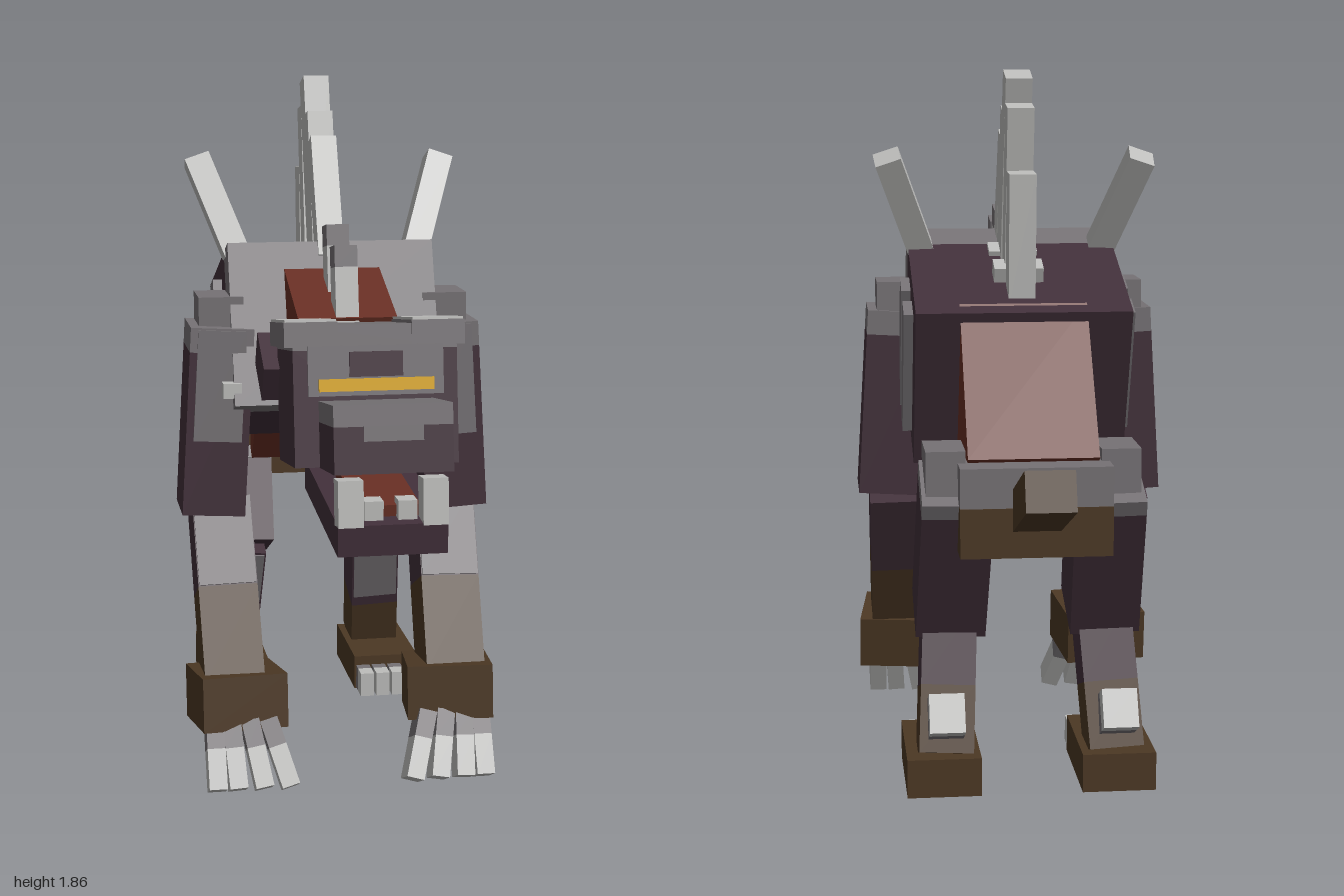
import * as THREE from 'three';

const M = {};
const colours = { grey: 0x767275, plum: 0x42303a, bone: 0xbdbdbb, brown: 0x4c3824, rust: 0x682f24, amber: 0xdca81e };
for (const n in colours) {
  M[n] = new THREE.MeshStandardMaterial({ color: colours[n] });
  M[n].name = n;
}

// Box with centre, size and pitch about x
function box(parent, name, mat, size, pos, rx = 0) {
  const m = new THREE.Mesh(new THREE.BoxGeometry(...size), mat);
  m.name = name;
  m.position.set(...pos);
  m.rotation.x = rx;
  parent.add(m);
  return m;
}

function group(parent, name, pos, rx = 0) {
  const g = new THREE.Group();
  g.name = name;
  g.position.set(...pos);
  g.rotation.x = rx;
  parent.add(g);
  return g;
}

// Limb between two points, cut into colour bands [material, share] from the top down
function limb(parent, name, top, bottom, w, d, bands) {
  const a = new THREE.Vector3(...top), b = new THREE.Vector3(...bottom);
  const len = a.distanceTo(b);
  const g = group(parent, name, a.clone().add(b).multiplyScalar(0.5).toArray());
  g.quaternion.setFromUnitVectors(new THREE.Vector3(0, 1, 0), a.clone().sub(b).normalize());
  let y = len / 2;
  for (const [mat, share] of bands) {
    const h = len * share;
    box(g, name + 'Section', mat, [w, h, d], [0, y - h / 2, 0]);
    y -= h;
  }
  return g;
}

// Flat outline extruded along y, given half of its plan as [x, z] from back to front
function plan(parent, name, mat, half, y0, h) {
  const pts = [...half, ...half.slice().reverse().map(([x, z]) => [-x, z])];
  const geo = new THREE.ExtrudeGeometry(new THREE.Shape(pts.map(([x, z]) => new THREE.Vector2(x, -z))), { depth: h, bevelEnabled: false });
  geo.rotateX(-Math.PI / 2);
  const m = new THREE.Mesh(geo, mat);
  m.name = name;
  m.position.y = y0;
  parent.add(m);
}

function buildTorso(root) {
  const t = group(root, 'torso', [0, 1.13, -0.1], -0.36);
  box(t, 'chest', M.plum, [0.56, 0.445, 0.41], [0, 0, -0.05]);
  box(t, 'chestFront', M.grey, [0.56, 0.445, 0.1], [0, 0, 0.205]);
  for (const s of [1, -1]) for (const z of [-0.11, 0.03]) box(t, 'rib', M.grey, [0.03, 0.35, 0.08], [s * 0.29, -0.01, z]);
  // Waist and pelvis
  box(root, 'waist', M.rust, [0.33, 0.305, 0.44], [0, 1.0, -0.38], -0.95);
  box(root, 'pelvisTop', M.grey, [0.38, 0.1, 0.28], [0, 0.85, -0.56]);
  box(root, 'pelvis', M.brown, [0.38, 0.125, 0.28], [0, 0.737, -0.56]);
  limb(root, 'tail', [0, 0.9, -0.98], [0, 0.78, -0.66], 0.12, 0.1, [[M.brown, 1]]);
  // Fan of back spines: base y, z, tip y, z, thickness
  const spines = [[1.38, 0.05, 1.69, -0.09, 0.07], [1.36, -0.04, 1.76, -0.15, 0.06], [1.33, -0.07, 1.85, -0.23, 0.08],
    [1.28, -0.19, 1.77, -0.28, 0.07], [1.25, -0.3, 1.6, -0.325, 0.08]];
  for (const [y0, z0, y1, z1, d] of spines) limb(root, 'backSpine', [0, y1, z1], [0, y0, z0], 0.07, d, [[M.bone, 1]]);
  for (const s of [1, -1]) {
    for (const z of [-0.06, -0.22]) box(root, 'spineRoot', M.bone, [0.04, 0.12, 0.06], [s * 0.045, 1.345 + z * 0.2, z], -0.36);
    limb(root, 'shoulderSpine', [s * 0.34, 1.635, -0.155], [s * 0.23, 1.34, 0.0], 0.07, 0.07, [[M.bone, 1]]);
  }
}

function buildHead(root) {
  // Neck with two crest spikes
  const n = group(root, 'neck', [0, 1.15, 0.16], 0.35);
  box(n, 'neckTop', M.rust, [0.26, 0.16, 0.28], [0, 0.09, 0]);
  box(n, 'neckBase', M.plum, [0.26, 0.16, 0.28], [0, -0.07, 0]);
  for (const [y, z] of [[1.44, 0.275], [1.48, 0.145]])
    limb(root, 'neckSpike', [0, y, z], [0, y - 0.22, z + 0.04], 0.06, 0.075, [[M.grey, 0.25], [M.bone, 0.75]]);

  const h = group(root, 'head', [0, 1.11, 0.53], -0.145);
  const outline = [[0.12, -0.227], [0.2, -0.05], [0.2, 0.227]];
  plan(h, 'skull', M.plum, outline, -0.175, 0.28);
  plan(h, 'skullTop', M.grey, outline, 0.105, 0.06);
  // Face plates and glowing eye band
  box(h, 'face', M.grey, [0.33, 0.12, 0.008], [0, 0.055, 0.23]);
  box(h, 'forehead', M.plum, [0.13, 0.06, 0.008], [0, 0.07, 0.235]);
  box(h, 'eyeBand', M.amber, [0.28, 0.03, 0.009], [0, 0.021, 0.238]);
  // Muzzle
  box(h, 'muzzleTop', M.grey, [0.28, 0.05, 0.25], [0, -0.041, 0.32]);
  box(h, 'muzzle', M.plum, [0.28, 0.11, 0.25], [0, -0.121, 0.32]);
  box(h, 'nose', M.grey, [0.14, 0.035, 0.008], [0, -0.083, 0.444]);
  for (const s of [1, -1]) {
    box(h, 'brow', M.grey, [0.13, 0.06, 0.26], [s * 0.155, 0.143, 0.1]);
    box(h, 'browPlate', M.bone, [0.125, 0.008, 0.25], [s * 0.155, 0.175, 0.1]);
    box(h, 'ear', M.plum, [0.05, 0.1, 0.15], [s * 0.215, 0.06, -0.1], 0.65);
    box(root, 'upperFang', M.bone, [0.06, 0.11, 0.06], [s * 0.1, 0.925, 0.957], -0.1);
    box(root, 'lowerFang', M.bone, [0.045, 0.07, 0.05], [s * 0.04, 0.89, 0.93]);
  }
  // Lower jaw
  const j = group(root, 'jaw', [0, 0.86, 0.725], 0.08);
  box(j, 'jawBone', M.plum, [0.26, 0.075, 0.52], [0, 0, 0]);
  box(j, 'tongue', M.rust, [0.15, 0.03, 0.44], [0, 0.05, -0.02]);
}

function buildFrontLeg(root, s) {
  const g = group(root, s > 0 ? 'leftFrontLeg' : 'rightFrontLeg', [0, 0, 0]);
  box(g, 'shoulderCap', M.grey, [0.12, 0.14, 0.14], [s * 0.305, 1.22, 0.05]);
  const arm = limb(g, 'upperArm', [s * 0.305, 1.21, 0.065], [s * 0.335, 0.7, 0.07], 0.17, 0.19, [[M.grey, 0.13], [M.plum, 0.87]]);
  box(arm, 'armPlate', M.grey, [0.13, 0.3, 0.008], [0, 0.1, 0.097]);
  box(g, 'shoulderSpike', M.bone, [0.05, 0.04, 0.05], [s * 0.285, 1.05, 0.18]);
  const fore = limb(g, 'forearm', [s * 0.31, 0.71, 0.05], [s * 0.3, 0.26, 0.27], 0.16, 0.16, [[M.plum, 0.49], [M.brown, 0.51]]);
  box(fore, 'forearmPlate', M.grey, [0.155, 0.24, 0.008], [0, 0.128, 0.082]);
  const paw = box(g, 'frontPaw', M.brown, [0.23, 0.145, 0.22], [s * 0.29, 0.228, 0.272], -0.12);
  paw.rotation.y = s * -0.12;
  // Splayed claws
  for (const [x0, x1] of [[0.36, 0.36], [0.315, 0.305], [0.265, 0.235], [0.215, 0.165]])
    limb(g, 'frontClaw', [s * x0, 0.18, 0.35], [s * x1, 0.02, 0.43], 0.048, 0.075, [[M.grey, 0.4], [M.bone, 0.6]]);
}

function buildHindLeg(root, s) {
  const g = group(root, s > 0 ? 'leftHindLeg' : 'rightHindLeg', [0, 0, 0]);
  box(g, 'hipCap', M.grey, [0.1, 0.13, 0.16], [s * 0.22, 0.865, -0.545]);
  const thigh = limb(g, 'thigh', [s * 0.19, 0.84, -0.57], [s * 0.2, 0.46, -0.4], 0.18, 0.2, [[M.grey, 0.1], [M.plum, 0.9]]);
  box(thigh, 'thighPlate', M.grey, [0.17, 0.16, 0.008], [0, 0.12, 0.102]);
  const shin = limb(g, 'shin', [s * 0.2, 0.48, -0.4], [s * 0.22, 0.12, -0.53], 0.14, 0.15, [[M.plum, 0.55], [M.brown, 0.45]]);
  box(shin, 'shinPlate', M.grey, [0.13, 0.17, 0.008], [0, 0.1, 0.076]);
  limb(g, 'heelClaw', [s * 0.22, 0.265, -0.645], [s * 0.22, 0.215, -0.55], 0.09, 0.1, [[M.bone, 0.45], [M.grey, 0.55]]);
  box(g, 'hindPaw', M.brown, [0.19, 0.1, 0.325], [s * 0.225, 0.08, -0.445]);
  for (const x of [0.155, 0.202, 0.249, 0.296]) {
    box(g, 'hindToe', M.grey, [0.04, 0.07, 0.035], [s * x, 0.068, -0.267]);
    box(g, 'hindClaw', M.bone, [0.04, 0.07, 0.05], [s * x, 0.068, -0.225]);
  }
}

export function createModel() {
  const root = new THREE.Group();
  root.name = 'spinedBeast';
  buildTorso(root);
  buildHead(root);
  for (const s of [1, -1]) {
    buildFrontLeg(root, s);
    buildHindLeg(root, s);
  }
  return root;
}
